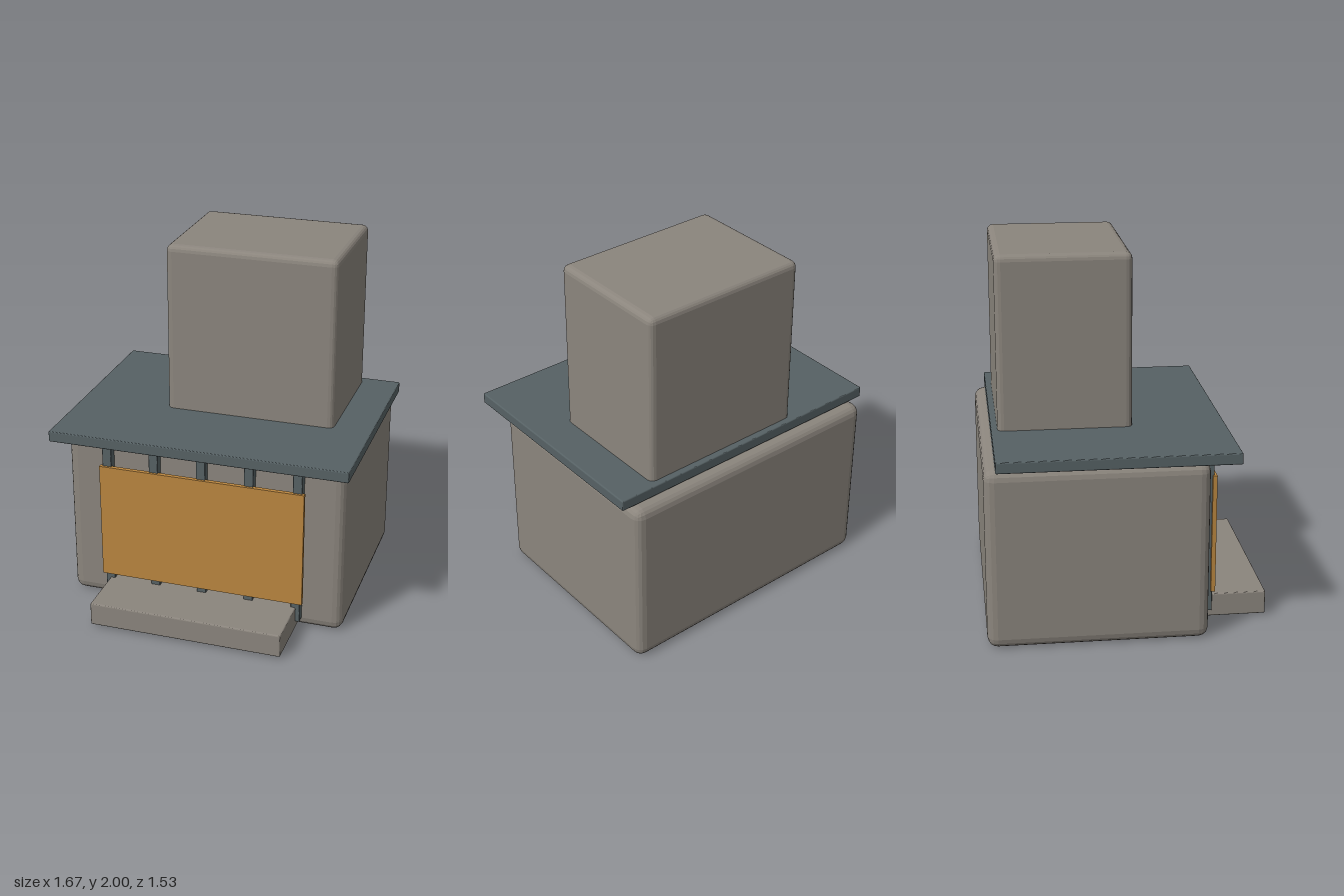
import * as THREE from 'three';
import { RoundedBoxGeometry } from 'three/addons/geometries/RoundedBoxGeometry.js';

const material = (name, color) => {
  const m = new THREE.MeshStandardMaterial({ color });
  m.name = name;
  return m;
};

export function createModel() {
  const model = new THREE.Group();
  model.name = 'furnace';
  const stone = material('stone', 0x8b857d);
  const iron = material('iron', 0x566164);
  const amber = material('amber', 0xba863f);

  // Box between two corners, with faceted bevels of the given width
  function block(name, mat, [x0, y0, z0], [x1, y1, z1], bevel = 0) {
    const size = [x1 - x0, y1 - y0, z1 - z0];
    const geometry = bevel
      ? new RoundedBoxGeometry(...size, 2, bevel)
      : new THREE.BoxGeometry(...size);
    if (bevel) geometry.computeVertexNormals();
    const mesh = new THREE.Mesh(geometry, mat);
    mesh.name = name;
    mesh.position.set((x0 + x1) / 2, (y0 + y1) / 2, (z0 + z1) / 2);
    model.add(mesh);
  }

  // Masonry
  block('body', stone, [-0.79, 0, -0.765], [0.79, 0.985, 0.41], 0.055);
  block('chimney', stone, [-0.33, 0.95, -0.67], [0.625, 2, 0.055], 0.035);
  block('hearthStep', stone, [-0.542, 0.013, 0.39], [0.542, 0.145, 0.765], 0.008);

  // Overhanging top plate
  block('topPlate', iron, [-0.835, 0.992, -0.705], [0.835, 1.053, 0.56], 0.007);

  // Grate bars across the opening
  for (let i = -2; i <= 2; i++) {
    const x = i * 0.27;
    block('grateBar', iron, [x - 0.026, 0.058, 0.412], [x + 0.026, 0.995, 0.463], 0.004);
  }

  // Glowing panel in front of the bars
  block('glowPanel', amber, [-0.58, 0.175, 0.453], [0.58, 0.842, 0.477]);

  return model;
}
